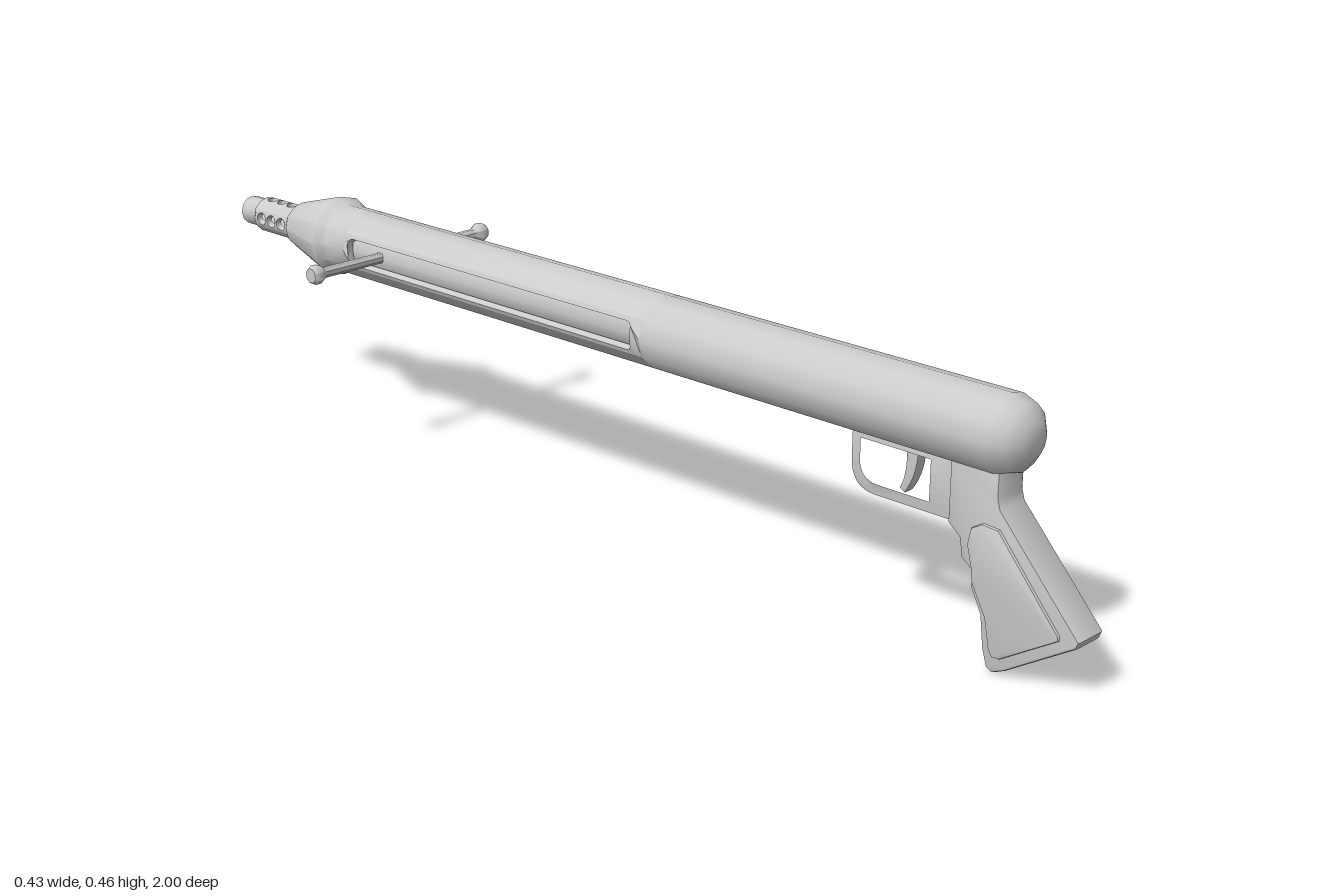
import * as THREE from 'three';
import { toCreasedNormals } from 'three/addons/utils/BufferGeometryUtils.js';

const AXIS_Y = 0.379;
const SIDE = Math.PI / 6; // half angle of a pierced strip
const material = new THREE.MeshStandardMaterial({ color: 0xcccccc });

function part(parent, name, geometry, crease = 0.6) {
  const mesh = new THREE.Mesh(toCreasedNormals(geometry, crease), material);
  mesh.name = name;
  parent.add(mesh);
  return mesh;
}

const points = (list) => list.map(([x, y]) => new THREE.Vector2(x, y));

// Turned shape around the z axis; profile is [radius, z], rising in z outside
function turned(profile, sides = 12) {
  return new THREE.LatheGeometry(points(profile), sides).rotateX(Math.PI / 2);
}

// Outline in [z, y], extruded symmetrically across x
function slab(shape, halfWidth, bevel) {
  const depth = 2 * (halfWidth - bevel);
  return new THREE.ExtrudeGeometry(shape, {
    depth, bevelEnabled: bevel > 0, bevelSize: bevel, bevelThickness: bevel,
    bevelOffset: -bevel, bevelSegments: 2, curveSegments: 8,
  }).translate(0, 0, -depth / 2).rotateY(-Math.PI / 2);
}

// Plain piece of tube wall between two angles
function wallArc(r, t, a0, a1, z0, z1) {
  const n = Math.round((a1 - a0) / SIDE);
  const outer = [], inner = [];
  for (let i = 0; i <= n; i++) {
    const a = a0 + ((a1 - a0) * i) / n;
    outer.push(new THREE.Vector2(r * Math.cos(a), r * Math.sin(a)));
    inner.unshift(new THREE.Vector2((r - t) * Math.cos(a), (r - t) * Math.sin(a)));
  }
  return new THREE.ExtrudeGeometry(new THREE.Shape([...outer, ...inner]), { depth: z1 - z0, bevelEnabled: false })
    .translate(0, 0, z0);
}

// Flat plate with holes, bent into a piece of tube wall facing +x
function piercedStrip(r, t, z0, z1, holes) {
  const w = SIDE * r;
  const shape = new THREE.Shape(points([[-w, z0], [0, z0], [w, z0], [w, z1], [0, z1], [-w, z1]]));
  shape.holes.push(...holes);
  const geo = new THREE.ExtrudeGeometry(shape, { depth: t, bevelEnabled: false, curveSegments: 8 });
  const p = geo.attributes.position;
  for (let i = 0; i < p.count; i++) {
    const a = p.getX(i) / r, R = r - t + p.getZ(i);
    p.setXYZ(i, R * Math.cos(a), R * Math.sin(a), p.getY(i));
  }
  return geo;
}

function slotHole(h, z0, z1, c) {
  const s = new THREE.Path();
  s.moveTo(-h + c, z0);
  s.lineTo(h - c, z0).quadraticCurveTo(h, z0, h, z0 + c);
  s.lineTo(h, z1 - c).quadraticCurveTo(h, z1, h - c, z1);
  s.lineTo(-h + c, z1).quadraticCurveTo(-h, z1, -h, z1 - c);
  s.lineTo(-h, z0 + c).quadraticCurveTo(-h, z0, -h + c, z0);
  return s;
}

export function createModel() {
  const model = new THREE.Group();
  model.name = 'model';

  // Long body, nose and muzzle share one axis
  const body = new THREE.Group();
  body.name = 'body';
  body.position.y = AXIS_Y;
  model.add(body);

  part(body, 'rearTube', turned([[0, 0.13], [0.065, 0.13], [0.065, 0.833], [0.055, 0.862], [0.03, 0.88], [0, 0.882]]), 0.75);
  part(body, 'innerCore', turned([[0, -0.66], [0.05, -0.66], [0.05, 0.15], [0, 0.15]]));
  part(body, 'noseCone', turned([
    [0, -0.852], [0.034, -0.852], [0.044, -0.84], [0.077, -0.722], [0.075, -0.716],
    [0.065, -0.70], [0.065, -0.64], [0, -0.64],
  ]));

  // Slotted middle of the tube: one slot on each side, plain wall above and below
  for (const turn of [0, Math.PI]) {
    part(body, 'slottedWall', piercedStrip(0.065, 0.013, -0.64, 0.13, [slotHole(0.026, -0.628, 0.108, 0.012)])
      .rotateZ(turn));
    part(body, 'plainWall', wallArc(0.065, 0.013, SIDE, Math.PI - SIDE, -0.64, 0.13).rotateZ(turn));
  }

  // Muzzle with three holes on each of four sides
  for (let i = 0; i < 4; i++) {
    const holes = [-0.87, -0.9, -0.93].map((z) => new THREE.Path().absarc(0, z, 0.0125, 0, Math.PI * 2, true));
    const turn = (i * Math.PI) / 2;
    part(body, 'muzzleVent', piercedStrip(0.034, 0.012, -0.952, -0.845, holes).rotateZ(turn));
    part(body, 'muzzleRib', wallArc(0.034, 0.012, SIDE, 2 * SIDE, -0.952, -0.845).rotateZ(turn));
  }
  part(body, 'muzzleTip', turned([
    [0.022, -0.95], [0.019, -0.955], [0.019, -1], [0.028, -1], [0.028, -0.958], [0.034, -0.95], [0.022, -0.95],
  ]));

  // Cross handle with a knob at each end
  const half = [[0, 0.213], [0.014, 0.213], [0.018, 0.207], [0.018, 0.195], [0.01, 0.183]];
  const handle = [...half.map(([r, y]) => [r, -y]), ...half.slice().reverse()];
  part(body, 'crossHandle', new THREE.LatheGeometry(points(handle), 8)
    .rotateY(Math.PI / 8).rotateZ(Math.PI / 2).translate(0, 0, -0.552), 0.85);

  // Grip with finger grooves
  const grip = new THREE.Shape(points([
    [0.752, 0.335], [0.752, 0.222], [0.775, 0.203], [0.78, 0.172], [0.802, 0.155], [0.8, 0.13],
    [0.82, 0.09], [0.827, 0.035], [0.836, 0.006], [0.848, 0], [0.87, 0.01],
    [0.995, 0.088], [1, 0.1], [0.848, 0.268], [0.843, 0.285], [0.843, 0.335],
  ]));
  part(model, 'grip', slab(grip, 0.033, 0.006));

  const panel = new THREE.Shape(points([
    [0.82, 0.24], [0.8, 0.228], [0.794, 0.2], [0.803, 0.165], [0.806, 0.14], [0.833, 0.09],
    [0.843, 0.04], [0.85, 0.029], [0.864, 0.03], [0.967, 0.094], [0.966, 0.102], [0.85, 0.238],
  ]));
  part(model, 'gripPanels', slab(panel, 0.0385, 0.003));

  // Trigger guard
  const guard = new THREE.Shape();
  guard.moveTo(0.765, 0.33);
  guard.lineTo(0.765, 0.22).lineTo(0.6, 0.22).quadraticCurveTo(0.552, 0.222, 0.552, 0.27);
  guard.lineTo(0.552, 0.33);
  const opening = new THREE.Path();
  opening.moveTo(0.71, 0.312);
  opening.lineTo(0.71, 0.236).lineTo(0.605, 0.236).quadraticCurveTo(0.567, 0.238, 0.567, 0.275);
  opening.lineTo(0.567, 0.312);
  guard.holes.push(opening);
  part(model, 'triggerGuard', slab(guard, 0.02, 0.003));

  // Curved trigger
  const trigger = new THREE.Shape();
  trigger.moveTo(0.676, 0.325);
  trigger.quadraticCurveTo(0.678, 0.27, 0.652, 0.236);
  trigger.lineTo(0.642, 0.242).quadraticCurveTo(0.66, 0.275, 0.65, 0.325);
  part(model, 'trigger', slab(trigger, 0.011, 0.002));

  return model;
}
